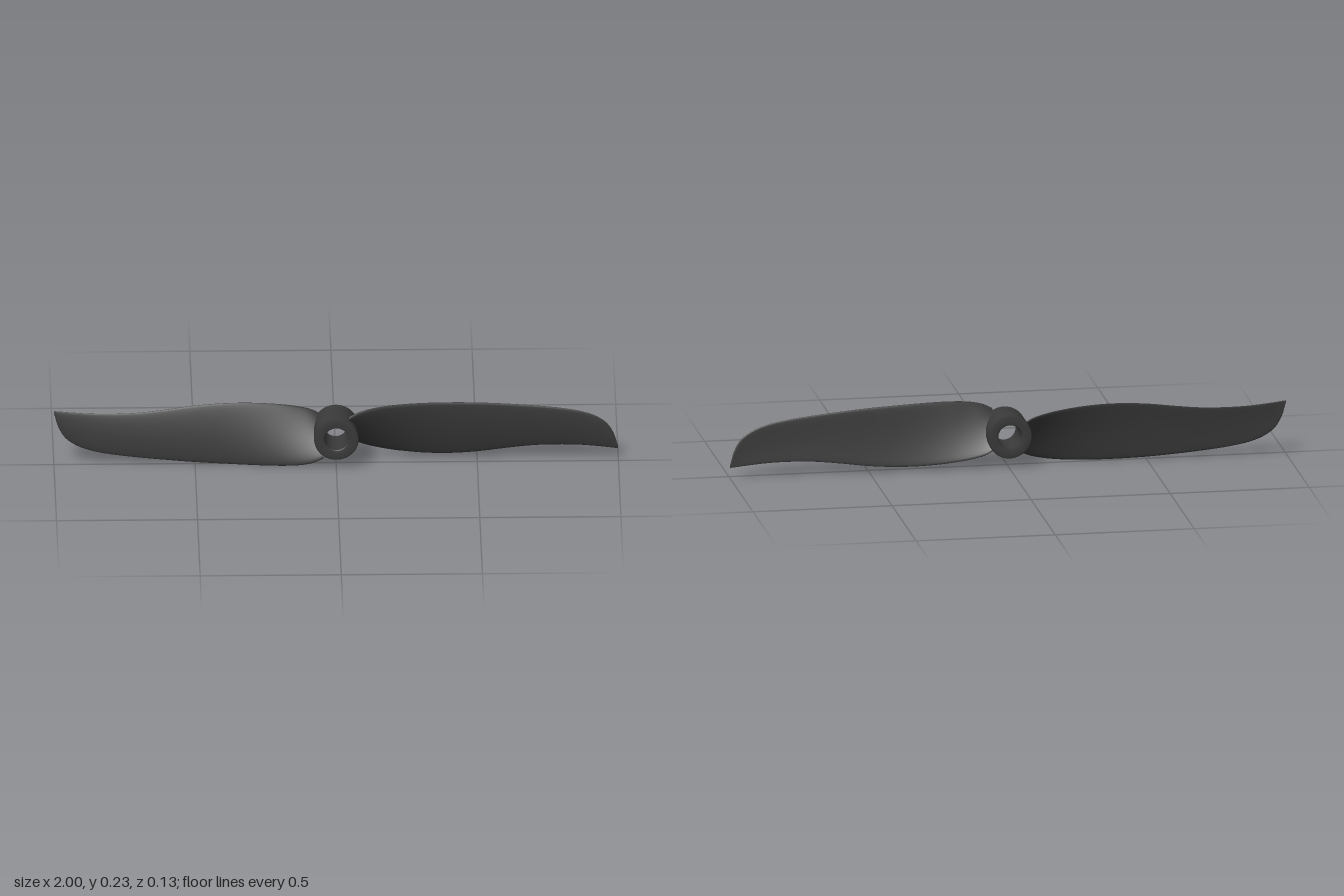
import * as THREE from 'three';

const material = new THREE.MeshStandardMaterial({ color: 0x3a3a3a });

// Blade stations: [x, top y, top z, bottom y, bottom z, thickness], relative to the hub axis
const stations = [
  [0.045, 0.078, 0.052, -0.04, -0.058, 0.022],
  [0.08, 0.096, 0.049, -0.062, -0.058, 0.022],
  [0.13, 0.108, 0.042, -0.077, -0.055, 0.021],
  [0.2, 0.115, 0.030, -0.089, -0.049, 0.020],
  [0.3, 0.117, 0.016, -0.098, -0.042, 0.018],
  [0.4, 0.115, 0.006, -0.099, -0.037, 0.016],
  [0.5, 0.111, 0.000, -0.092, -0.034, 0.015],
  [0.6, 0.104, -0.005, -0.079, -0.032, 0.014],
  [0.7, 0.095, -0.008, -0.068, -0.030, 0.013],
  [0.8, 0.083, -0.011, -0.065, -0.028, 0.012],
  [0.87, 0.069, -0.013, -0.067, -0.027, 0.011],
  [0.92, 0.050, -0.015, -0.071, -0.026, 0.011],
  [0.96, 0.021, -0.017, -0.075, -0.025, 0.010],
  [0.985, -0.022, -0.019, -0.078, -0.024, 0.009],
  [0.996, -0.060, -0.021, -0.079, -0.023, 0.008],
  [1.0, -0.074, -0.022, -0.080, -0.023, 0.006],
];

// Twisted blade lofted through rounded, slightly cambered sections
function bladeGeometry() {
  const curveOf = (y, z) => new THREE.CatmullRomCurve3(stations.map((s) => new THREE.Vector3(s[0], s[y], s[z])));
  const top = curveOf(1, 2), bottom = curveOf(3, 4);
  const rows = (stations.length - 1) * 4, sides = 32;
  const positions = [], index = [];
  for (let i = 0; i <= rows; i++) {
    const t = i / rows;
    const a = top.getPoint(t), b = bottom.getPoint(t);
    const k = Math.min(Math.floor(i / 4), stations.length - 2);
    const thick = THREE.MathUtils.lerp(stations[k][5], stations[k + 1][5], i / 4 - k);
    const dy = b.y - a.y, dz = b.z - a.z, chord = Math.hypot(dy, dz);
    const ny = dz / chord, nz = -dy / chord; // section normal, towards the front
    for (let j = 0; j < sides; j++) {
      const angle = (j / sides) * Math.PI * 2;
      const s = 0.5 - 0.5 * Math.cos(angle), sin = Math.sin(angle);
      const half = Math.sign(sin) * Math.abs(sin) ** 0.7 * thick * 0.5 * (1.1 - 0.35 * s);
      const off = half + 0.03 * chord * 4 * s * (1 - s);
      positions.push(THREE.MathUtils.lerp(a.x, b.x, s), a.y + dy * s + ny * off, a.z + dz * s + nz * off);
    }
  }
  for (let i = 0; i < rows; i++) {
    for (let j = 0; j < sides; j++) {
      const p = i * sides + j, q = i * sides + ((j + 1) % sides);
      index.push(p, q, p + sides, q, q + sides, p + sides);
    }
  }
  // Flat ends, with their own vertices so the rims stay crisp
  for (const [row, flip] of [[0, true], [rows, false]]) {
    const start = positions.length / 3;
    positions.push(...positions.slice(row * sides * 3, (row + 1) * sides * 3));
    for (let j = 1; j < sides - 1; j++) {
      index.push(start, start + (flip ? j + 1 : j), start + (flip ? j : j + 1));
    }
  }
  const geometry = new THREE.BufferGeometry();
  geometry.setAttribute('position', new THREE.Float32BufferAttribute(positions, 3));
  geometry.setIndex(index);
  geometry.computeVertexNormals();
  return geometry;
}

// Hollow hub turned around the z axis
function hubGeometry() {
  const outer = 0.079, bore = 0.042, h = 0.067, c = 0.004;
  const profile = [
    [bore, h - c], [bore, -h + c], [bore + c, -h], [outer - c, -h],
    [outer, -h + c], [outer, h - c], [outer - c, h], [bore + c, h], [bore, h - c],
  ].map(([r, y]) => new THREE.Vector2(r, y));
  return new THREE.LatheGeometry(profile, 64).rotateX(Math.PI / 2);
}

export function createModel() {
  const model = new THREE.Group();
  model.name = 'propeller';

  const hub = new THREE.Mesh(hubGeometry(), material);
  hub.name = 'hub';
  model.add(hub);

  // Two identical blades, half a turn apart
  const geometry = bladeGeometry();
  ['leftBlade', 'rightBlade'].forEach((name, i) => {
    const blade = new THREE.Mesh(geometry, material);
    blade.name = name;
    blade.rotation.z = i * Math.PI;
    model.add(blade);
  });

  model.children.forEach((part) => { part.position.y = 0.118; });
  return model;
}
